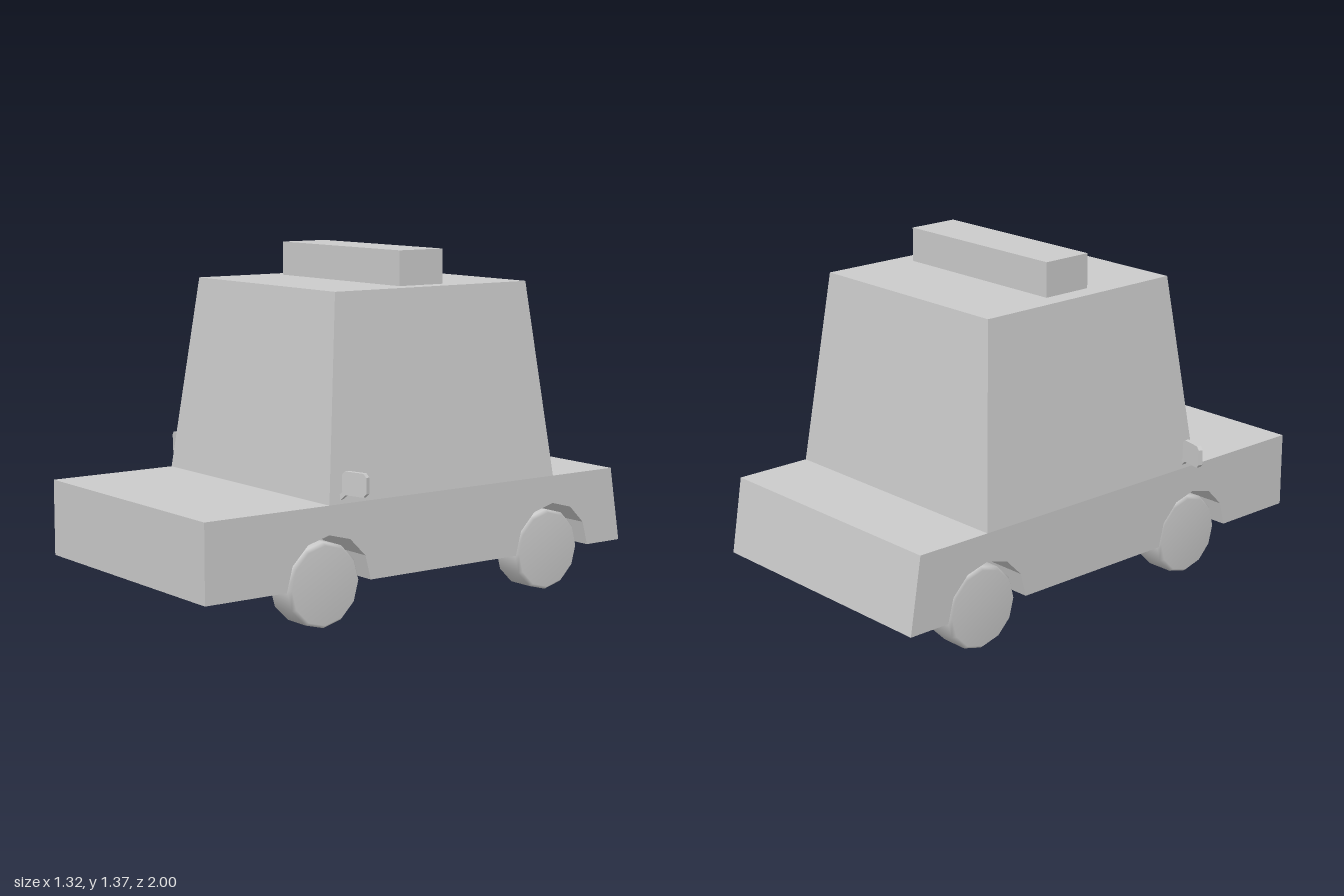
import * as THREE from 'three';

const grey = new THREE.MeshStandardMaterial({ color: 0xcccccc });
const flat = new THREE.MeshStandardMaterial({ color: 0xcccccc, flatShading: true });

const HALF = 0.545, FLOOR = 0.165, DECK = 0.465, WELL_X = 0.31, ARCH_R = 0.19;
const AXLES = [-0.635, 0.46];

function add(parent, name, geometry, material = flat) {
  const mesh = new THREE.Mesh(geometry, material);
  mesh.name = name;
  parent.add(mesh);
  return mesh;
}

// Side profile drawn in (z, y), with optional wheel arches cut from the lower edge
function bodySlab(xMin, xMax, arches) {
  const points = [new THREE.Vector2(-1, FLOOR)];
  if (arches) {
    for (const z of AXLES) {
      for (let i = 0; i <= 6; i++) {
        const a = Math.PI * (1 - i / 6);
        points.push(new THREE.Vector2(z + ARCH_R * Math.cos(a), FLOOR + ARCH_R * Math.sin(a)));
      }
    }
  }
  points.push(new THREE.Vector2(1, FLOOR), new THREE.Vector2(1, DECK), new THREE.Vector2(-0.95, DECK));
  const geometry = new THREE.ExtrudeGeometry(new THREE.Shape(points), { depth: xMax - xMin, bevelEnabled: false });
  return geometry.rotateY(-Math.PI / 2).translate(xMax, 0, 0);
}

// Box whose top narrows to the roof outline
function cabinGeometry() {
  const geometry = new THREE.BoxGeometry(2 * HALF, 1.235 - DECK, 1.095).translate(0, (1.235 + DECK) / 2, -0.0875);
  const p = geometry.attributes.position;
  for (let i = 0; i < p.count; i++) {
    if (p.getY(i) > 1) {
      p.setX(i, Math.sign(p.getX(i)) * 0.46);
      p.setZ(i, p.getZ(i) > 0 ? 0.372 : -0.552);
    }
  }
  geometry.computeVertexNormals();
  return geometry;
}

// Twelve-sided wheel with small chamfers, axle along x
function wheelGeometry() {
  const profile = [[0, -0.07], [0.15, -0.07], [0.162, -0.055], [0.162, 0.055], [0.15, 0.07], [0, 0.07]]
    .map(([r, y]) => new THREE.Vector2(r, y));
  return new THREE.LatheGeometry(profile, 12).rotateZ(Math.PI / 2);
}

// Plate with clipped corners
function mirrorGeometry() {
  const w = 0.057, h = 0.044, c = 0.014;
  const shape = new THREE.Shape([
    [-w + c, -h], [w - c, -h], [w, -h + c], [w, h - c],
    [w - c, h], [-w + c, h], [-w, h - c], [-w, -h + c],
  ].map(([x, y]) => new THREE.Vector2(x, y)));
  return new THREE.ExtrudeGeometry(shape, { depth: 0.018, bevelEnabled: false }).translate(0, 0, -0.009);
}

export function createModel() {
  const model = new THREE.Group();
  model.name = 'taxi';

  // Body: solid centre and arched flanks
  const body = new THREE.Group();
  body.name = 'body';
  model.add(body);
  add(body, 'bodyCentre', bodySlab(-WELL_X, WELL_X, false));
  add(body, 'leftFlank', bodySlab(WELL_X, HALF, true));
  add(body, 'rightFlank', bodySlab(-HALF, -WELL_X, true));

  add(model, 'cabin', cabinGeometry());

  // Roof sign
  add(model, 'roofSign', new THREE.BoxGeometry(0.77, 0.135, 0.21)).position.set(0, 1.3025, -0.09);

  const wheel = wheelGeometry(), plate = mirrorGeometry();
  for (const side of [1, -1]) {
    const label = side > 0 ? 'left' : 'right';

    // Wheels
    for (const z of AXLES) {
      add(model, label + (z > 0 ? 'FrontWheel' : 'RearWheel'), wheel, grey).position.set(side * 0.45, 0.162, z);
    }

    // Door mirror with a short stalk into the door
    const mirror = new THREE.Group();
    mirror.name = label + 'Mirror';
    mirror.position.set(side * 0.605, 0.545, 0.386);
    mirror.rotation.y = side * 0.25;
    model.add(mirror);
    add(mirror, 'mirrorPlate', plate);
    const stalk = add(mirror, 'mirrorStalk', new THREE.BoxGeometry(0.045, 0.018, 0.016));
    stalk.position.set(side * -0.057, -0.047, 0);
    stalk.rotation.z = side * 0.7;
  }
  return model;
}
